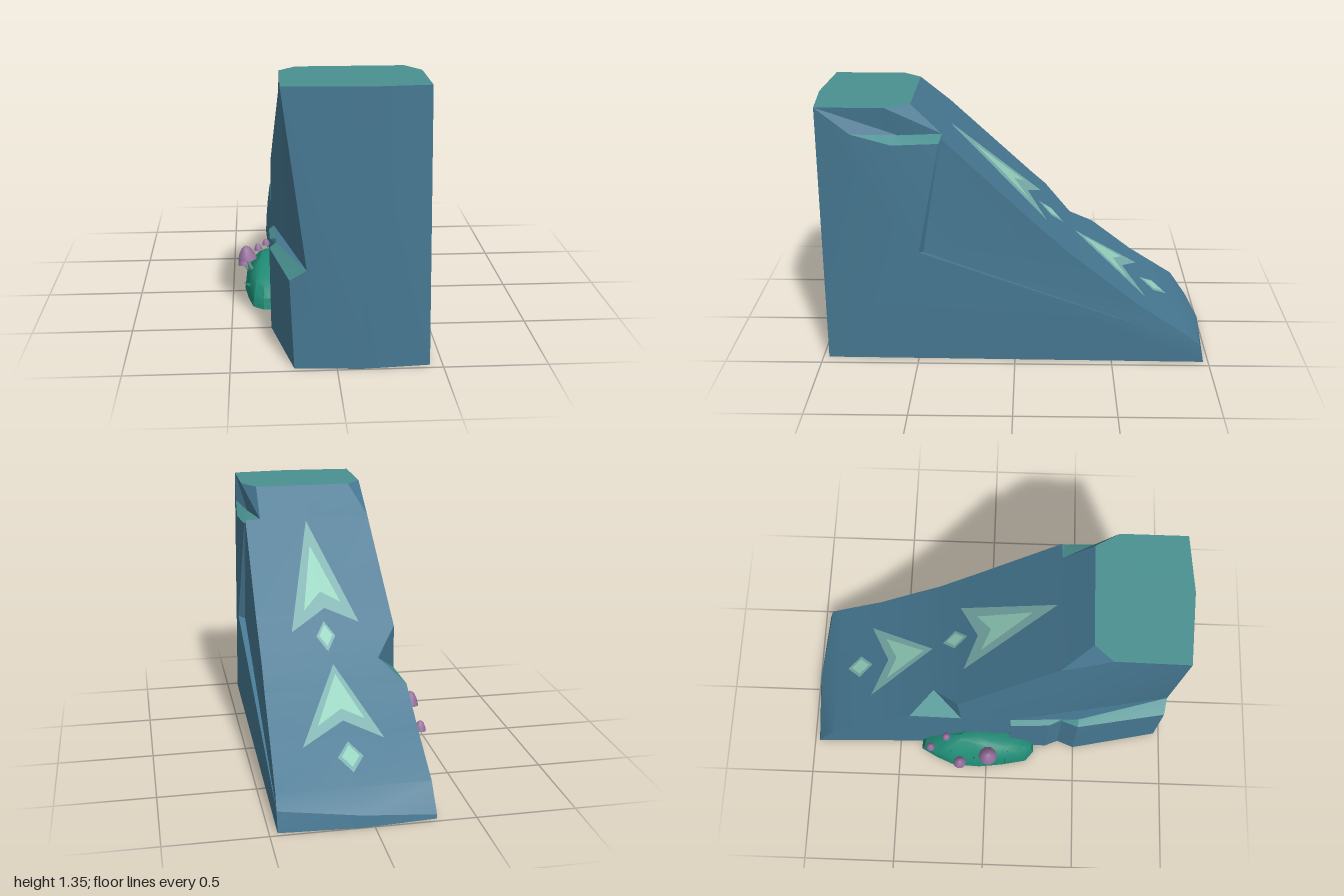
import * as THREE from 'three';
import { toCreasedNormals } from 'three/addons/utils/BufferGeometryUtils.js';

const mat = (color) => new THREE.MeshStandardMaterial({ color, side: THREE.DoubleSide });
const stone = mat(0x467892), teal = mat(0x4a9090), moss = mat(0x1f8a74);
const runeDark = mat(0x7aaeac), runeLight = mat(0x92d0bb), purple = mat(0x95709c), stemMat = mat(0x6f9a90);
const H = 1.345;

// Height of the ramp along z
const profile = [[0.51, H], [0.36, 1.195], [-0.075, 0.78], [-0.29, 0.585], [-0.64, 0.31], [-0.88, 0.155], [-1, 0.05]];
function rampY(z) {
  for (let i = 1; i < profile.length; i++) {
    const [z0, y0] = profile[i - 1], [z1, y1] = profile[i];
    if (z >= z1) return y0 + (y1 - y0) * (z - z0) / (z1 - z0);
  }
  return 0.05;
}

// Mesh from polygons, each fanned out from its first corner
function panels(name, polys, material) {
  const pos = [];
  for (const p of polys)
    for (let i = 1; i < p.length - 1; i++) pos.push(...p[0], ...p[i], ...p[i + 1]);
  const g = new THREE.BufferGeometry();
  g.setAttribute('position', new THREE.Float32BufferAttribute(pos, 3));
  const m = new THREE.Mesh(toCreasedNormals(g, 0.3), material);
  m.name = name;
  return m;
}

function buildRock() {
  const rock = new THREE.Group();
  rock.name = 'rockRamp';

  // Ramp rows: z, left-hand x, right-hand x (the notch is the inset row)
  const rows = [
    [0.51, -0.17, 0.35], [0.36, -0.25, 0.35], [0.355, -0.25, 0.43], [-0.075, -0.28, 0.435],
    [-0.155, -0.285, 0.435], [-0.29, -0.17, 0.435], [-0.42, -0.29, 0.44], [-0.64, -0.3, 0.445], [-0.88, -0.305, 0.455],
  ].map(([z, l, r]) => [[l, rampY(z), z], [0.08, rampY(z), z], [r, rampY(z), z]]);
  rows.push([[-0.31, 0.02, -0.97], [0.06, 0.06, -0.99], [0.46, 0.1, -0.95]]);
  const lip = [[-0.31, 0, -0.975], [0.06, 0, -1], [0.46, 0, -0.975]];
  const ramp = [];
  [...rows, lip].forEach((r, i, all) => {
    if (i) for (const k of [0, 1]) ramp.push([all[i - 1][k], all[i - 1][k + 1], r[k + 1], r[k]]);
  });
  rock.add(panels('ramp', ramp, stone));
  const L = rows.map((r) => r[0]), R = rows.map((r) => r[2]);

  // Shared corners of the tall end
  const topL = [-0.255, H, 0.97], topLB = [-0.25, H, 0.6], topM = [0.12, H, 0.995];
  const topR = [0.42, H, 0.97], topRB = [0.42, H, 0.63];
  const botM = [0.12, 0, 0.995], botR = [0.44, 0, 0.97];
  rock.add(panels('topFace', [[topM, topR, topRB, R[0], L[0], topLB, topL]], teal));

  // Side with the long sunken panel and the chipped corner
  const chipIn = [0.395, 1.2, 0.57], chipTip = [0.435, 1.215, 0.8], chipLow = [0.45, 1.165, 0.6];
  const chipEnd = [0.435, 1.17, 0.37], bend = [0.47, 0.61, 0.48], bendIn = [0.435, 0.6, 0.46];
  const tail = R[R.length - 1];
  rock.add(panels('plainSide', [
    [bend, chipEnd, chipLow, chipTip, topR, botR, lip[2], tail],
    [topR, chipTip, chipIn, topRB],
    [bendIn, ...R.slice(2).reverse(), chipEnd],
    [bend, tail, bendIn], [bend, bendIn, chipEnd],
    [topRB, chipIn, R[1], R[0]],
  ], stone));
  rock.add(panels('cornerChip', [[chipIn, chipTip, chipLow, chipEnd, R[1]], [R[1], chipEnd, R[2]]], teal));

  // Stepped side: undercut wall above, block below
  const inner = [[-0.14, 0.49, 0.98], [-0.27, 0.46, 0.5], [-0.265, 0.45, 0.42], [-0.27, 0.44, 0.33], [-0.275, 0.42, 0.13]];
  const outer = [[-0.22, 0.44, 0.97], [-0.305, 0.43, 0.5], [-0.27, 0.42, 0.41], [-0.3, 0.42, 0.34], [-0.302, 0.4, 0.13]];
  const foot = outer.map(([x, , z], i) => [i ? x + 0.005 : -0.2, 0, z]);
  const notch = [-0.29, 0.47, -0.14], wallFoot = [-0.275, 0, 0.13];
  const wall = [
    [inner[4], inner[3], inner[2], inner[1], inner[0], topL, topLB, L[2], L[3], L[4], notch, ...L.slice(6), lip[0], wallFoot],
    [topLB, L[0], L[1]],
    [inner[4], wallFoot, foot[4], outer[4]],
    [L[4], L[5], notch],
  ];
  const ledge = [[L[5], L[6], notch]];
  for (let i = 0; i < 4; i++) {
    wall.push([outer[i], outer[i + 1], foot[i + 1], foot[i]]);
    ledge.push([inner[i], inner[i + 1], outer[i + 1], outer[i]]);
  }
  rock.add(panels('steppedSide', wall, stone), panels('ledges', ledge, teal));

  // Tall front face
  rock.add(panels('frontFace', [
    [botM, topM, topL, inner[0], outer[0], foot[0]],
    [topM, botM, botR, topR],
  ], stone));
  return rock;
}

// Flat inlay laid on the ramp, from x,z corners
function inlay(name, pts, lift, material) {
  const g = new THREE.ShapeGeometry(new THREE.Shape(pts.map(([x, z]) => new THREE.Vector2(x, -z))));
  g.rotateX(-Math.PI / 2);
  const p = g.attributes.position;
  for (let i = 0; i < p.count; i++) p.setY(i, rampY(p.getZ(i)) + lift);
  g.computeVertexNormals();
  const m = new THREE.Mesh(g, material);
  m.name = name;
  return m;
}

function buildInlays() {
  const g = new THREE.Group();
  g.name = 'inlays';
  const arrows = [
    [[[-0.12, -0.66], [0.07, -0.57], [0.29, -0.68], [0.07, -0.31]], [[-0.04, -0.57], [0.07, -0.52], [0.2, -0.59], [0.07, -0.36]]],
    [[[-0.1, -0.13], [0.07, -0.06], [0.26, -0.16], [0.1, 0.34]], [[-0.02, -0.04], [0.08, 0.01], [0.18, -0.07], [0.1, 0.22]]],
  ];
  for (const [rim, core] of arrows)
    g.add(inlay('arrowRim', rim, 0.004, runeDark), inlay('arrowCore', core, 0.008, runeLight));
  for (const [x, z, w, h] of [[0.065, -0.74, 0.063, 0.075], [0.085, -0.185, 0.05, 0.067]]) {
    const diamond = (s) => [[x, z - h * s], [x + w * s, z], [x, z + h * s], [x - w * s, z]];
    g.add(inlay('diamondRim', diamond(1), 0.004, runeDark), inlay('diamondCore', diamond(0.7), 0.008, runeLight));
  }
  return g;
}

function buildMoss() {
  const g = new THREE.Group();
  g.name = 'mossPatch';
  // Lumpy half dome against the wall
  const dome = new THREE.SphereGeometry(1, 14, 5, 0, Math.PI * 2, 0, Math.PI / 2);
  const p = dome.attributes.position;
  for (let i = 0; i < p.count; i++) {
    const x = p.getX(i), y = p.getY(i), z = p.getZ(i);
    const k = 1 + 0.06 * Math.sin(5 * z + 3 * y) * Math.cos(4 * x);
    p.setXYZ(i, -0.31 + x * 0.125 * k, y * 0.19 * k, -0.04 + z * 0.33 * k);
  }
  const mound = new THREE.Mesh(toCreasedNormals(dome, 0.5), moss);
  mound.name = 'mound';
  g.add(mound);

  // Mushrooms: foot, cap base, cap radius and height
  const shrooms = [
    [[-0.38, 0.11, 0.0], [-0.42, 0.19, 0.01], 0.052, 0.078],
    [[-0.4, 0.06, -0.14], [-0.44, 0.1, -0.15], 0.036, 0.055],
    [[-0.34, 0.08, -0.31], [-0.36, 0.12, -0.32], 0.025, 0.04],
    [[-0.31, 0.13, -0.22], [-0.315, 0.185, -0.23], 0.023, 0.035],
  ];
  for (const [a, b, r, h] of shrooms) {
    const foot = new THREE.Vector3(...a), head = new THREE.Vector3(...b);
    const bendPt = new THREE.Vector3(head.x + 0.012, (foot.y + head.y) / 2, head.z);
    const path = new THREE.CatmullRomCurve3([foot, bendPt, head.clone().setY(head.y + h * 0.3)]);
    const stem = new THREE.Mesh(new THREE.TubeGeometry(path, 5, r * 0.2, 6), stemMat);
    stem.name = 'mushroomStem';
    const pts = [[0, 0.15], [1, 0], [0.8, 0.4], [0.45, 0.8], [0, 1]].map(([x, y]) => new THREE.Vector2(x * r, y * h));
    const cap = new THREE.Mesh(toCreasedNormals(new THREE.LatheGeometry(pts, 10), 0.8), purple);
    cap.name = 'mushroomCap';
    cap.position.copy(head);
    cap.rotation.z = 0.12;
    g.add(stem, cap);
  }

  // Small leaves poking out of the moss
  for (const [x, y, z, tilt] of [[-0.42, 0.08, 0.11, 1.1], [-0.41, 0.1, -0.07, 0.5], [-0.38, 0.12, -0.2, 0.7], [-0.36, 0.12, 0.12, 0.9]]) {
    const leaf = new THREE.Mesh(new THREE.ConeGeometry(0.016, 0.05, 4), moss);
    leaf.name = 'leaf';
    leaf.position.set(x, y, z);
    leaf.rotation.z = tilt;
    leaf.scale.z = 0.5;
    g.add(leaf);
  }
  return g;
}

export function createModel() {
  const model = new THREE.Group();
  model.name = 'mossyRockRamp';
  model.add(buildRock(), buildInlays(), buildMoss());
  return model;
}
